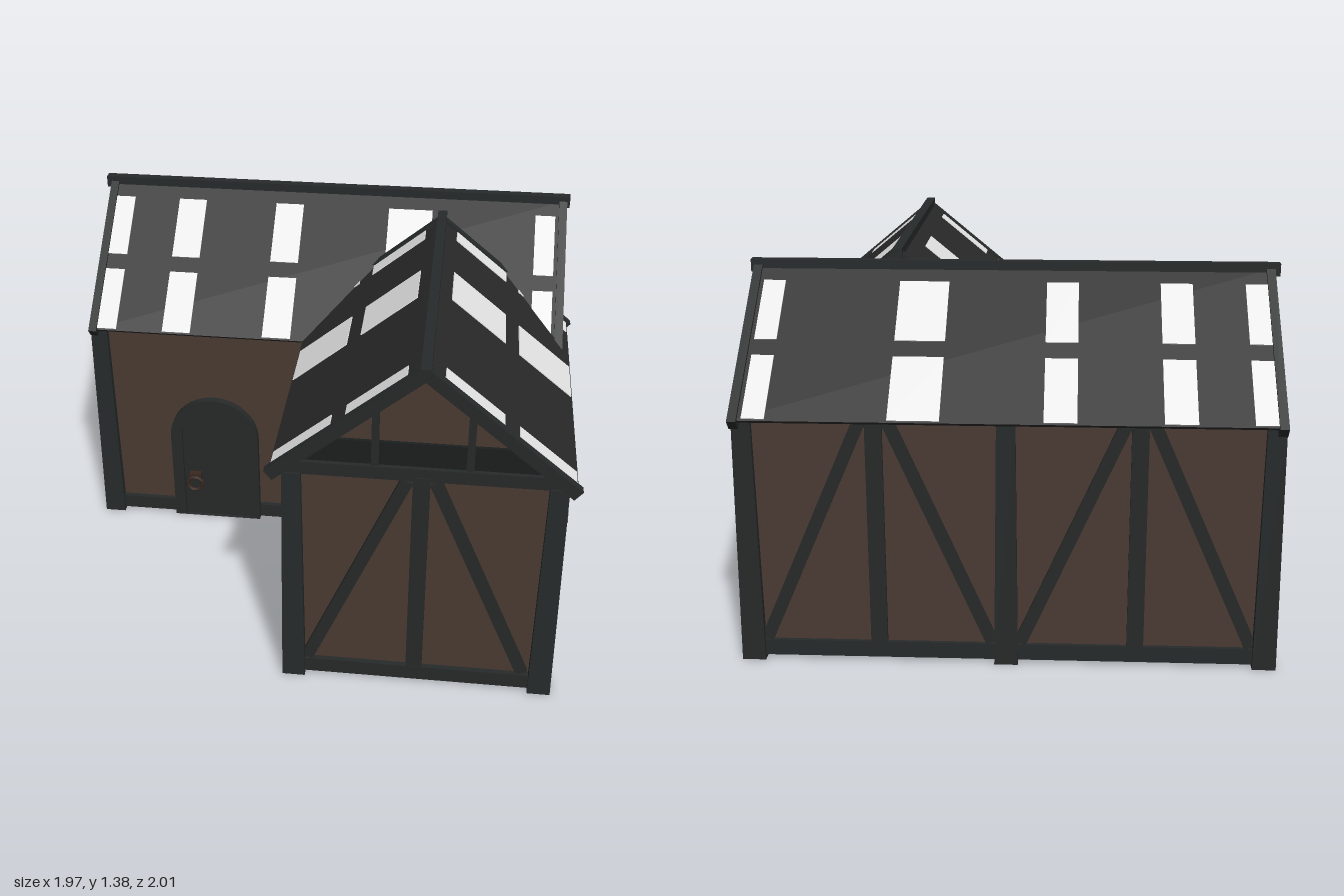
import * as THREE from 'three';

const mat = (name, color) => {
  const m = new THREE.MeshStandardMaterial({ color });
  m.name = name;
  return m;
};

export function createModel() {
  const plaster = mat('brown wall', 0x4a3a32);
  const timber = mat('dark timber', 0x272a2a);
  const roofing = mat('roof', 0x292929);
  const pale = mat('pale roof patch', 0xf2f2f2);
  const dark = mat('dark panel', 0x1c1f1f);
  const floorMat = mat('floor', 0x46372c);
  const glass = mat('amber glass', 0xcc880f);
  const board = mat('window board', 0x4e3c34);
  const iron = mat('rusty iron', 0x3a2820);

  const root = new THREE.Group();
  root.name = 'house';
  const V = (x, y, z) => new THREE.Vector3(x, y, z);

  const add = (parent, name, geo, m) => {
    const mesh = new THREE.Mesh(geo, m);
    mesh.name = name;
    parent.add(mesh);
    return mesh;
  };
  // box given by its min and max corners
  const span = (parent, name, m, x0, x1, y0, y1, z0, z1) => {
    const b = add(parent, name, new THREE.BoxGeometry(x1 - x0, y1 - y0, z1 - z0), m);
    b.position.set((x0 + x1) / 2, (y0 + y1) / 2, (z0 + z1) / 2);
    return b;
  };
  // straight bar between two points; w and d are its cross-section
  const beam = (parent, name, m, a, b, w, d) => {
    const dir = b.clone().sub(a);
    const bar = add(parent, name, new THREE.BoxGeometry(w, dir.length(), d), m);
    bar.position.copy(a).lerp(b, 0.5);
    bar.quaternion.setFromUnitVectors(V(0, 1, 0), dir.normalize());
    return bar;
  };
  const shapeOf = pts => new THREE.Shape(pts.map(p => new THREE.Vector2(p[0], p[1])));
  const extrude = (shape, depth) =>
    new THREE.ExtrudeGeometry(shape, { depth, bevelEnabled: false, curveSegments: 12 });

  // L-shaped floor
  const plan = shapeOf([[-0.94, -0.94], [0.93, -0.94], [0.93, 0.95], [-0.02, 0.95], [-0.02, 0.01], [-0.94, 0.01]]);
  const floor = add(root, 'floor', extrude(plan, 0.02).rotateX(Math.PI / 2), floorMat);
  floor.position.y = 0.03;

  // walls; the right end of the main wing is open
  span(root, 'frontWingFrontWall', plaster, -0.02, 0.93, 0.03, 0.93, 0.93, 0.945);
  span(root, 'frontWingRightWall', plaster, 0.915, 0.93, 0.03, 0.93, 0, 0.94);
  span(root, 'frontWingLeftWall', plaster, -0.025, -0.01, 0.03, 0.93, 0, 0.94);
  span(root, 'mainFrontWall', plaster, -0.94, -0.01, 0.03, 0.93, -0.005, 0.01);
  span(root, 'mainBackWall', plaster, -0.94, 0.93, 0.03, 0.93, -0.94, -0.925);
  span(root, 'leftEndUpperWall', plaster, -0.945, -0.93, 0.335, 0.93, -0.93, 0);
  span(root, 'leftEndLowerPanel', dark, -0.945, -0.93, 0.03, 0.325, -0.93, 0);

  // corner posts, slightly wider at the foot
  const post = (x, z) => {
    const geo = new THREE.BoxGeometry(0.085, 0.92, 0.085);
    const p = geo.attributes.position;
    for (let i = 0; i < p.count; i++)
      if (p.getY(i) > 0) p.setXYZ(i, p.getX(i) * 0.78, p.getY(i), p.getZ(i) * 0.78);
    geo.computeVertexNormals();
    add(root, 'cornerPost', geo, timber).position.set(x, 0.46, z);
  };
  [[-0.005, 0.935], [0.912, 0.935], [0.912, 0], [0.912, -0.925], [-0.93, -0.925], [-0.93, 0], [-0.005, 0], [-0.005, -0.925]]
    .forEach(c => post(...c));

  // sills along the foot of every wall
  const sill = (x0, z0, x1, z1) =>
    beam(root, 'sill', timber, V(x0, 0.045, z0), V(x1, 0.045, z1), 0.06, 0.06);
  sill(-0.005, 0.935, 0.912, 0.935);
  sill(0.912, -0.925, 0.912, 0.935);
  sill(-0.93, -0.925, 0.912, -0.925);
  sill(-0.93, -0.925, -0.93, 0);
  sill(-0.93, 0, -0.66, 0);
  sill(-0.28, 0, 0, 0);
  sill(-0.015, 0, -0.015, 0.935);

  // timber-framed bay: centre stud and two leaning braces
  const bay = (x0, x1, z) => {
    const c = (x0 + x1) / 2;
    beam(root, 'stud', timber, V(c, 0.05, z), V(c, 0.93, z), 0.06, 0.035);
    for (const [x, s] of [[x0, 1], [x1, -1]])
      beam(root, 'brace', timber, V(x + s * 0.05, 0.08, z), V(c - s * 0.05, 0.91, z), 0.045, 0.03);
  };
  bay(-0.005, 0.895, 0.945);
  bay(-0.93, -0.005, -0.937);
  bay(-0.005, 0.912, -0.937);

  // gabled roof with its ridge along local z
  const HALF = 0.525, EAVE = 0.92, RIDGE = 1.355;
  const roof = (name, z0, z1, columns, gables, verges, ridge) => {
    const g = new THREE.Group();
    g.name = name;
    root.add(g);
    const zc = (z0 + z1) / 2;
    for (const s of [-1, 1]) {
      const at = (t, z, drop = 0) => V(s * HALF * (1 - t), EAVE + (RIDGE - EAVE) * t - drop, z);
      beam(g, 'roofSlope', roofing, at(0, zc), at(1, zc), 0.012, z1 - z0);
      for (const [a, b] of columns)
        for (const [t0, t1] of [[0.01, 0.4], [0.5, 0.89]])
          beam(g, 'roofPatch', pale, at(t0, (a + b) / 2), at(t1, (a + b) / 2), 0.019, b - a);
      for (const z of verges)
        beam(g, 'vergeBeam', timber, at(-0.01, z, 0.008), at(1, z, 0.008), 0.045, 0.032);
    }
    span(g, 'ridgeBeam', timber, -0.018, 0.018, RIDGE - 0.02, RIDGE + 0.026, ridge[0], ridge[1]);
    // gable infill, tie beam and struts
    const w = y => HALF * (RIDGE - 0.01 - y) / (RIDGE - EAVE);
    for (const z of gables) {
      const upper = shapeOf([[-w(1.065), 1.065], [w(1.065), 1.065], [0, RIDGE - 0.01]]);
      const lower = shapeOf([[-w(0.93), 0.93], [w(0.93), 0.93], [w(1.057), 1.057], [-w(1.057), 1.057]]);
      add(g, 'gableWall', extrude(upper, 0.012), plaster).position.z = z - 0.006;
      add(g, 'gableLowerPanel', extrude(lower, 0.012), dark).position.z = z - 0.006;
      span(g, 'tieBeam', timber, -0.48, 0.48, 0.915, 0.965, z - 0.022, z + 0.022);
      for (const s of [-1, 1])
        beam(g, 'gableStrut', timber, V(s * 0.162, 0.95, z), V(s * 0.162, 1.21, z), 0.026, 0.035);
    }
    return g;
  };
  const main = roof('mainRoof', -0.95, 0.94,
    [[-0.93, -0.85], [-0.66, -0.545], [-0.25, -0.135], [0.22, 0.4], [0.82, 0.9]],
    [-0.935, 0.915], [-0.945, 0.93], [-0.98, 0.957]);
  main.rotation.y = Math.PI / 2;
  main.position.z = -0.468;
  const wing = roof('frontWingRoof', -0.235, 0.965,
    [[-0.22, -0.13], [0.15, 0.37], [0.86, 0.945]],
    [0.937], [-0.225, 0.957], [-0.26, 0.995]);
  wing.position.x = 0.445;

  // arched door
  const arch = (half, top) => {
    const s = new THREE.Shape();
    s.moveTo(-half, 0);
    s.lineTo(half, 0);
    s.lineTo(half, top - half);
    s.absarc(0, top - half, half, 0, Math.PI, false);
    s.lineTo(-half, 0);
    return s;
  };
  const door = new THREE.Group();
  door.name = 'door';
  door.position.set(-0.47, 0.003, 0);
  root.add(door);
  const frame = arch(0.187, 0.597);
  frame.holes.push(arch(0.14, 0.55));
  add(door, 'doorFrame', extrude(frame, 0.11), timber).position.z = -0.07;
  add(door, 'doorLeaf', extrude(arch(0.142, 0.552), 0.07), timber).position.z = -0.045;
  span(door, 'handlePlate', iron, -0.115, -0.065, 0.2, 0.225, 0.025, 0.05);
  const ring = add(door, 'handleRing', new THREE.TorusGeometry(0.032, 0.008, 6, 14), iron);
  ring.position.set(-0.09, 0.18, 0.055);

  // boarded-up window, facing local +z
  const windowAt = (x, rotY) => {
    const g = new THREE.Group();
    g.name = 'boardedWindow';
    g.position.set(x, 0, 0.465);
    g.rotation.y = rotY;
    root.add(g);
    const head = (y, r) => shapeOf([[-r, y], [-r * 0.5, y + 0.035], [0, y + 0.045], [r * 0.5, y + 0.035], [r, y]]);
    const pane = head(0.615, 0.125);
    pane.lineTo(0.125, 0.32);
    pane.lineTo(-0.125, 0.32);
    add(g, 'windowPane', extrude(pane, 0.008), glass);
    const lintel = head(0.625, 0.172);
    for (const [px, py] of [[0.172, 0.66], [0.08, 0.697], [0, 0.705], [-0.08, 0.697], [-0.172, 0.66]]) lintel.lineTo(px, py);
    add(g, 'lintel', extrude(lintel, 0.045), timber);
    span(g, 'windowSill', timber, -0.172, 0.172, 0.285, 0.328, 0, 0.045);
    for (const s of [-1, 1])
      span(g, 'windowJamb', timber, s * 0.135 - 0.02, s * 0.135 + 0.02, 0.31, 0.64, 0, 0.022);
    span(g, 'mullion', timber, -0.012, 0.012, 0.31, 0.66, 0, 0.016);
    span(g, 'windowBar', timber, -0.125, 0.125, 0.485, 0.505, 0, 0.016);
    for (const [y, tilt] of [[0.563, -0.008], [0.455, 0.008], [0.395, -0.006]])
      beam(g, 'board', board, V(-0.165, y - tilt, 0.03), V(0.165, y + tilt, 0.03), 0.04, 0.012);
    beam(g, 'crossBoard', board, V(-0.16, 0.385, 0.041), V(0.16, 0.555, 0.041), 0.04, 0.012);
    beam(g, 'crossBoard', board, V(-0.16, 0.56, 0.05), V(0.16, 0.375, 0.05), 0.04, 0.012);
  };
  windowAt(0.928, Math.PI / 2);
  windowAt(-0.023, -Math.PI / 2);

  return root;
}
